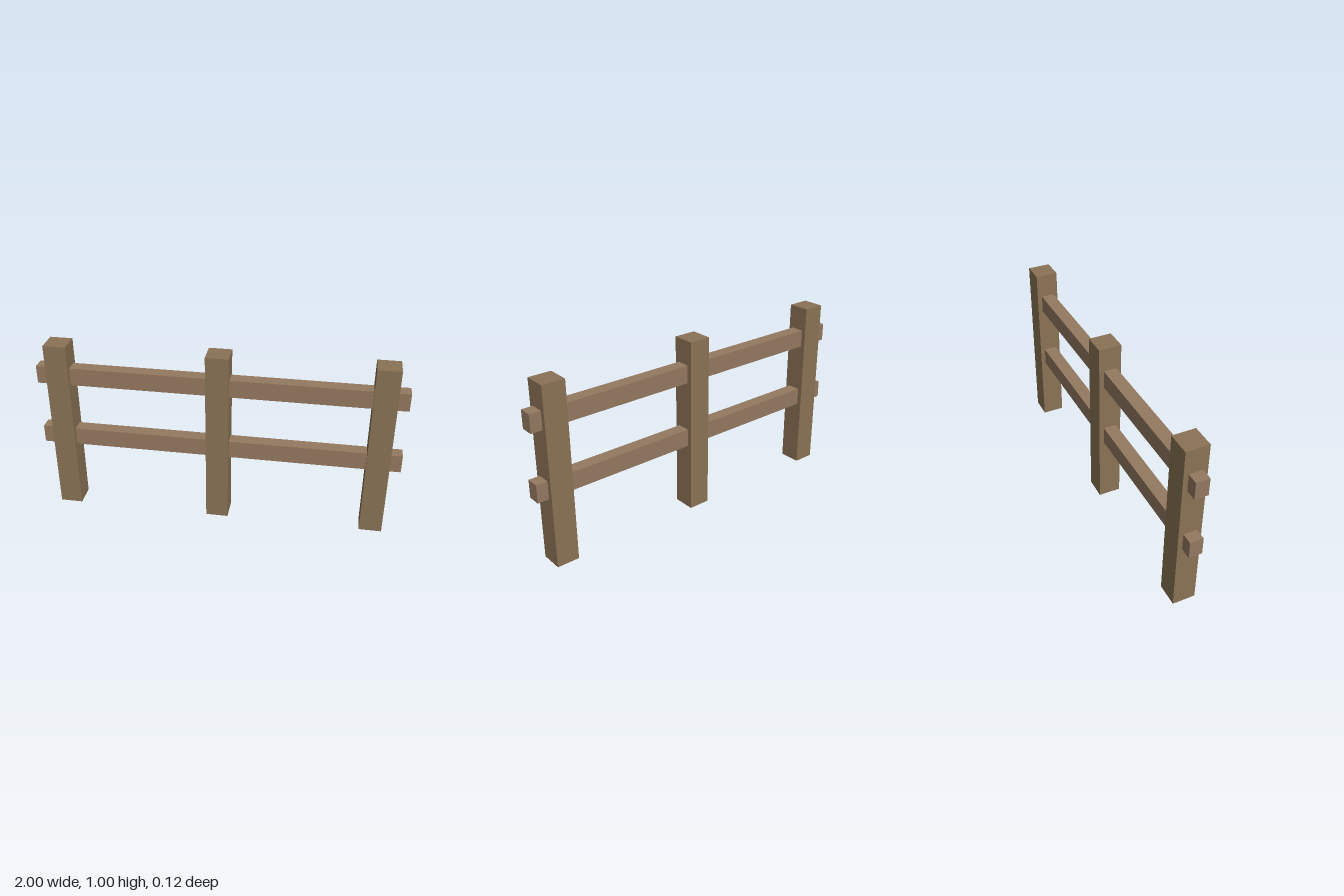
import * as THREE from 'three';

const POST = { width: 0.125, height: 1 };
const RAIL = { length: 2, height: 0.1, depth: 0.073 };

export function createModel() {
  const fence = new THREE.Group();
  fence.name = 'fence';
  const postWood = new THREE.MeshStandardMaterial({ color: 0x8b7355 });
  const railWood = new THREE.MeshStandardMaterial({ color: 0x947960 });

  function addBox(name, size, position, material) {
    const mesh = new THREE.Mesh(new THREE.BoxGeometry(...size), material);
    mesh.name = name;
    mesh.position.set(...position);
    fence.add(mesh);
  }

  // Three square posts standing on the ground
  const posts = { rightPost: -0.875, middlePost: 0, leftPost: 0.875 };
  for (const [name, x] of Object.entries(posts)) {
    addBox(name, [POST.width, POST.height, POST.width], [x, POST.height / 2, 0], postWood);
  }

  // Two rails running through the posts, with short ends poking out
  const rails = { lowerRail: 0.44, upperRail: 0.815 };
  for (const [name, y] of Object.entries(rails)) {
    addBox(name, [RAIL.length, RAIL.height, RAIL.depth], [0, y, 0], railWood);
  }

  return fence;
}
